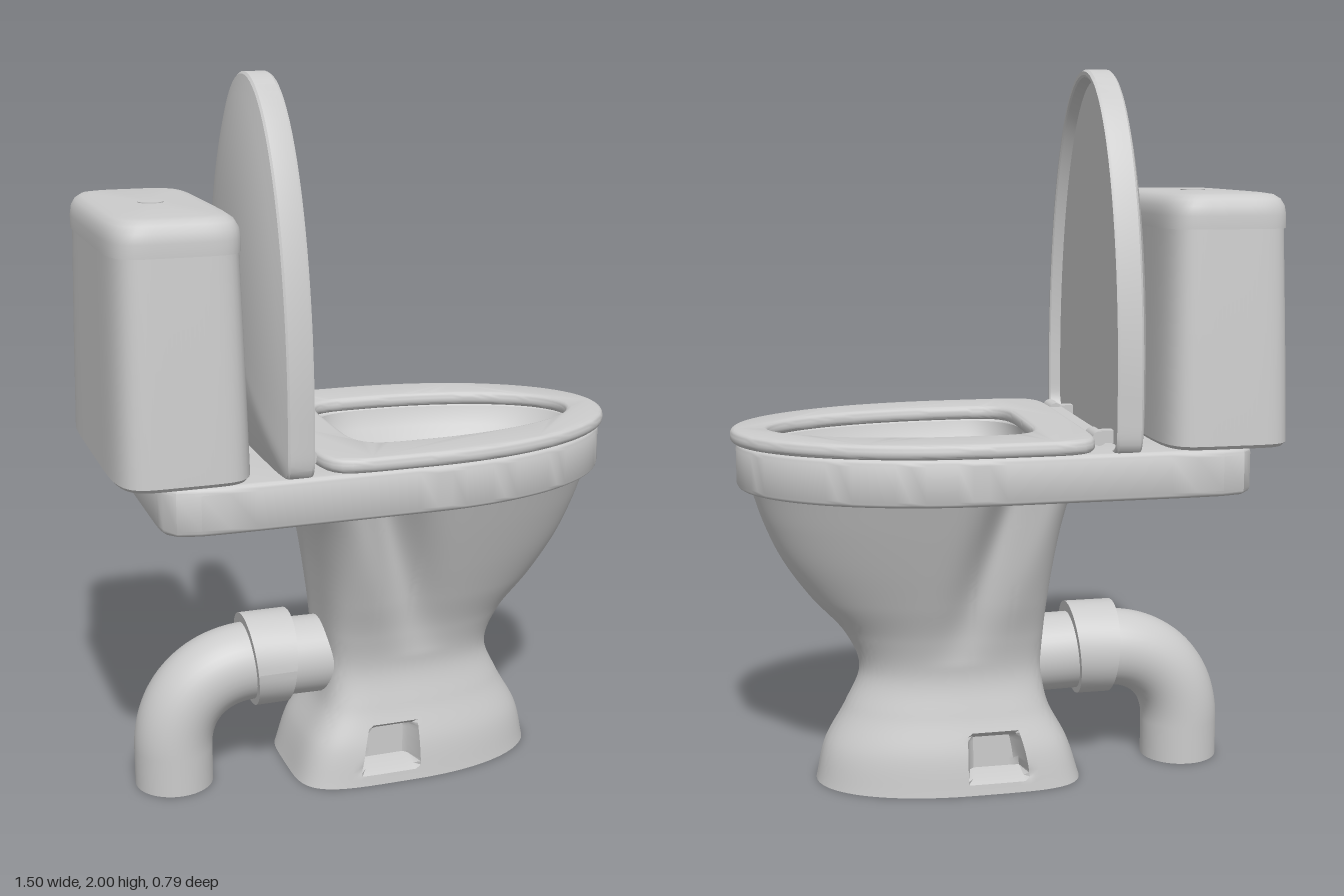
import * as THREE from 'three';
import { toCreasedNormals } from 'three/addons/utils/BufferGeometryUtils.js';

const material = new THREE.MeshStandardMaterial({ color: 0xcccccc, side: THREE.DoubleSide });
const { smoothstep, lerp } = THREE.MathUtils;

// Closed oval in (u, v): its own roundness towards the front (nf) and back (nb)
function oval(back, front, w, mid, nb, nf = 2, count = 96) {
  const pts = [];
  for (let j = 0; j < count; j++) {
    const t = (j / count) * Math.PI * 2, c = Math.cos(t), s = Math.sin(t);
    const n = c < 0 ? nb : nf;
    const r = Math.pow(Math.pow(Math.abs(c), n) + Math.pow(Math.abs(s), n), -1 / n);
    pts.push([mid + c * r * (c < 0 ? mid - back : front - mid), s * r * w]);
  }
  return pts;
}

// Horizontal ring of [x, y, z] at height y
const level = (y, pts) => pts.map(([x, z]) => [x, y, z]);

// Skin over rings with equal point counts
function loft(rings, crease = 0.6) {
  const n = rings[0].length, index = [];
  for (let i = 0; i < rings.length - 1; i++) {
    for (let j = 0; j < n; j++) {
      const a = i * n + j, b = i * n + (j + 1) % n, c = a + n, d = b + n;
      index.push(a, c, b, b, c, d);
    }
  }
  const geo = new THREE.BufferGeometry();
  geo.setAttribute('position', new THREE.Float32BufferAttribute(rings.flat(2), 3));
  geo.setIndex(index);
  return toCreasedNormals(geo, crease);
}

// Horizontal plate with a hole and rounded edges
function plate(outline, hole, y0, y1, bevel) {
  const vec = (pts) => pts.map(([x, y]) => new THREE.Vector2(x, y));
  const shape = new THREE.Shape(vec(outline));
  shape.holes.push(new THREE.Path(vec(hole)));
  const geo = new THREE.ExtrudeGeometry(shape, {
    depth: y1 - y0 - 2 * bevel, bevelThickness: bevel, bevelSize: bevel, bevelOffset: -bevel, bevelSegments: 4,
  });
  geo.rotateX(-Math.PI / 2).translate(0, y0 + bevel, 0);
  return toCreasedNormals(geo, 0.6);
}

// Waisted foot and bowl body, with side valleys and a screw pocket on each side
function pedestalGeometry() {
  const back = [-0.22, -0.185, -0.13, -0.112, -0.115, -0.122, -0.132, -0.147, -0.17];
  const front = [0.53, 0.505, 0.445, 0.402, 0.445, 0.54, 0.615, 0.665, 0.7];
  const width = [0.225, 0.212, 0.182, 0.162, 0.182, 0.222, 0.265, 0.308, 0.35];
  const profile = new THREE.CatmullRomCurve3(
    back.map((b, i) => new THREE.Vector3(b, front[i], width[i])), false, 'catmullrom');
  const rows = 86, rings = [];
  for (let i = 0; i <= rows; i++) {
    const y = (0.87 * i) / rows, p = profile.getPoint(i / rows);
    const k = smoothstep(y, 0.36, 0.86), valleyX = lerp(0.14, 0, (y - 0.38) / 0.48);
    rings.push(oval(p.x, p.y, p.z, 0.11, 4.5, 2.1, 160).map(([x, z]) => {
      z *= 1 - 0.3 * Math.sqrt(k) * Math.exp(-(((x - valleyX) / 0.07) ** 2));
      const left = -0.055 + (y - 0.04) * 0.25;
      const pocket = smoothstep(x, left, left + 0.02) * (1 - smoothstep(x, 0.105, 0.125))
        * smoothstep(y, 0.035, 0.05) * (1 - smoothstep(y, 0.145, 0.17));
      return [x, y, lerp(z, Math.sign(z) * Math.min(Math.abs(z), 0.14), pocket)];
    }));
  }
  return loft(rings, 0.7);
}

// Raised cover: recessed inner panel, rounded rim, domed outer side
function coverGeometry() {
  const outline = oval(0.968, 2, 0.395, 1.15, 9);
  const steps = [[0, -0.275], [0.95, -0.275], [0.965, -0.246], [0.975, -0.242], [0.992, -0.242], [1, -0.25], [1, -0.308]];
  for (let i = 0; i <= 12; i++) {
    const s = 0.99 * (1 - i / 12);
    steps.push([s, -0.312 - 0.058 * (1 - s ** 3)]);
  }
  return loft(steps.map(([s, x]) => outline.map(([y, z]) => [x, 1.4 + (y - 1.4) * s, z * s])), 0.5);
}

export function createModel() {
  const group = new THREE.Group();
  const add = (name, geo, x = 0, y = 0, z = 0) => {
    const mesh = new THREE.Mesh(geo, material);
    mesh.name = name;
    mesh.position.set(x, y, z);
    group.add(mesh);
    return mesh;
  };

  add('pedestal', pedestalGeometry());

  // Rim and seat
  add('bowlRim', plate(oval(-0.64, 0.735, 0.392, 0.1, 14), oval(-0.09, 0.655, 0.25, 0.12, 5), 0.86, 0.99, 0.018));
  add('seat', plate(oval(-0.21, 0.75, 0.392, 0.1, 8), oval(-0.07, 0.645, 0.24, 0.12, 5), 0.988, 1.028, 0.016));
  add('seatTab', new THREE.BoxGeometry(0.08, 0.035, 0.42), -0.2, 1.006, 0);

  // Hollow of the bowl: [y, back, front, half width, middle]
  const hollow = [
    [0.985, -0.09, 0.655, 0.25, 0.12], [0.93, -0.1, 0.625, 0.235, 0.12], [0.9, -0.1, 0.585, 0.215, 0.11],
    [0.8, -0.11, 0.51, 0.19, 0.09], [0.7, -0.11, 0.42, 0.16, 0.07], [0.6, -0.105, 0.31, 0.13, 0.04],
    [0.5, -0.1, 0.18, 0.1, 0.01], [0.43, -0.09, 0.09, 0.08, 0], [0.4, -0.06, 0.04, 0.05, -0.01], [0.395, 0, 0, 0, 0],
  ];
  add('bowlHollow', loft(hollow.map(([y, b, f, w, m]) => level(y, oval(b, f, w, m, 3))), 0.8));

  // Cover and its hinges
  add('cover', coverGeometry());
  for (const side of [-1, 1]) {
    add('hingeBarrel', new THREE.CylinderGeometry(0.02, 0.02, 0.08, 20).rotateX(Math.PI / 2), -0.222, 1.015, side * 0.25);
    add('hingeLug', new THREE.BoxGeometry(0.06, 0.035, 0.03), -0.245, 1.01, side * 0.225);
  }

  // Tank, lid and button: [y, inset in x, half width]
  const tankRing = ([y, inset, w]) => level(y, oval(-0.75 + inset, -0.385 - inset, w, -0.5675, 6, 6));
  const point = (y) => [y, 0.1825, 0];
  add('tank', loft([point(0.99), [0.99, 0.008, 0.382], [1, 0, 0.39], [1.3, 0.005, 0.372], [1.585, 0.011, 0.35], point(1.585)].map(tankRing)));
  add('tankLid', loft([
    point(1.575), [1.575, 0.006, 0.355], [1.61, 0.006, 0.355], [1.635, 0.01, 0.351], [1.653, 0.02, 0.341],
    [1.664, 0.036, 0.325], [1.668, 0.06, 0.3], point(1.669),
  ].map(tankRing)));
  add('flushButton', new THREE.CylinderGeometry(0.034, 0.034, 0.01, 32), -0.568, 1.666, 0.005);

  // Drain elbow and collar
  const path = new THREE.CurvePath();
  const v = (x, y) => new THREE.Vector3(x, y, 0);
  path.add(new THREE.LineCurve3(v(-0.08, 0.335), v(-0.32, 0.34)));
  path.add(new THREE.CubicBezierCurve3(v(-0.32, 0.34), v(-0.455, 0.34), v(-0.552, 0.25), v(-0.552, 0.11)));
  path.add(new THREE.LineCurve3(v(-0.552, 0.11), v(-0.552, 0)));
  add('drainPipe', new THREE.TubeGeometry(path, 60, 0.112, 36, false));

  const collar = new THREE.CylinderGeometry(0.135, 0.135, 0.113, 40).rotateZ(Math.PI / 2);
  const pos = collar.attributes.position;
  for (let i = 0; i < pos.count; i++) pos.setX(i, pos.getX(i) * (1 + 1.5 * pos.getY(i)));
  collar.computeVertexNormals();
  add('drainCollar', collar, -0.274, 0.345, 0);

  return group;
}
